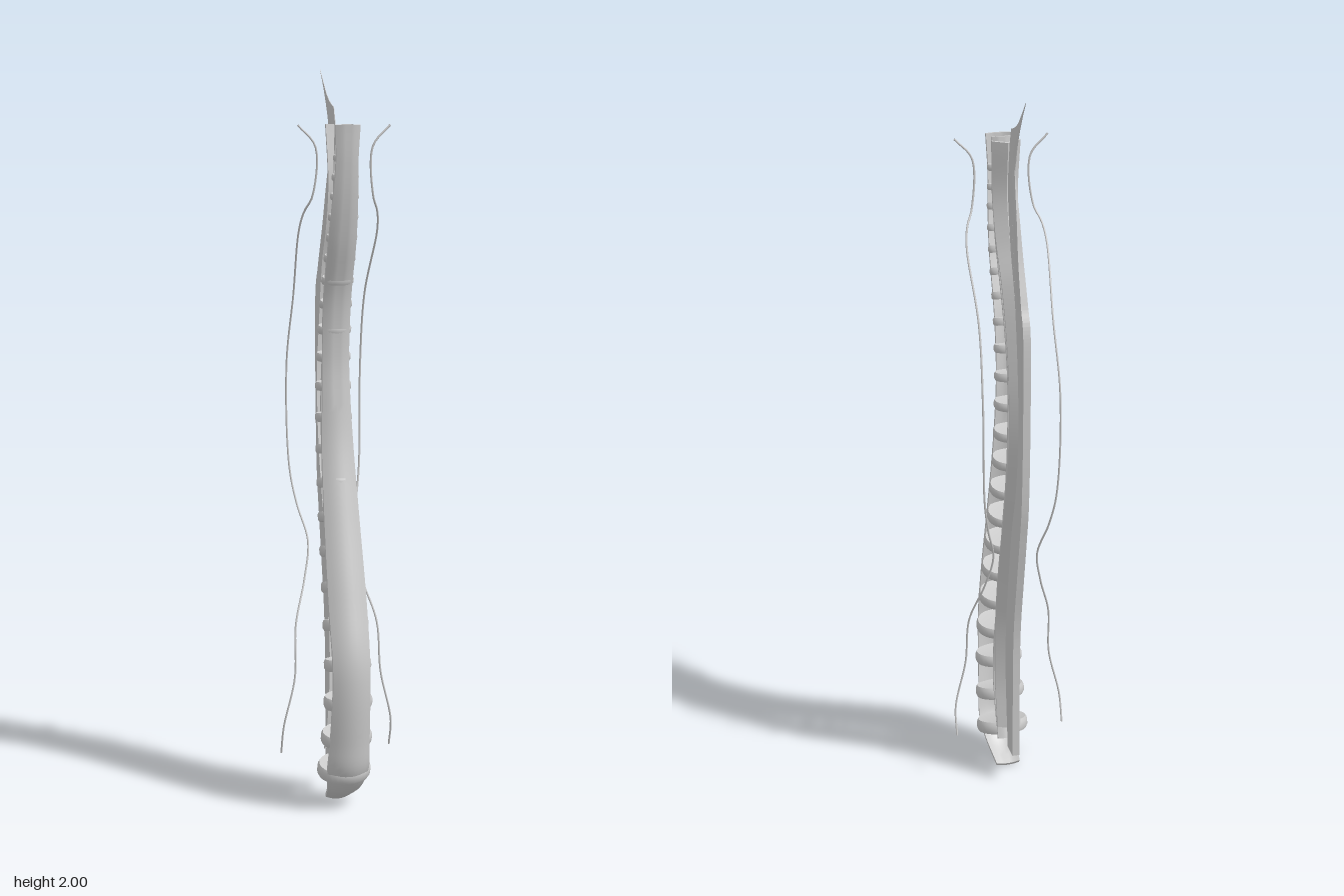
import * as THREE from 'three';
import { toCreasedNormals } from 'three/addons/utils/BufferGeometryUtils.js';

const material = new THREE.MeshStandardMaterial({ color: 0xcccccc, side: THREE.DoubleSide });

// Linear lookup in rows of [y, value, ...] sorted upward
function lookup(rows, y) {
  if (y <= rows[0][0]) return rows[0][1];
  for (let i = 1; i < rows.length; i++) {
    if (y <= rows[i][0]) {
      const t = (y - rows[i - 1][0]) / (rows[i][0] - rows[i - 1][0]);
      return THREE.MathUtils.lerp(rows[i - 1][1], rows[i][1], t);
    }
  }
  return rows[rows.length - 1][1];
}

// Sweeps a bent strip along rows of [y, z, half width]; bend(u, w) offsets it forwards for u in -1..1
function sweepStrip(rows, thickness, bend, steps = 90, across = 8) {
  const curve = new THREE.CatmullRomCurve3(rows.map(([y, z]) => new THREE.Vector3(0, y, z)));
  const widths = new THREE.CatmullRomCurve3(rows.map((r, i) => new THREE.Vector3(r[2], i, 0)));
  const ring = 2 * (across + 1), positions = [], index = [];
  for (let i = 0; i <= steps; i++) {
    const t = i / steps;
    const p = curve.getPoint(t), tan = curve.getTangent(t), w = widths.getPoint(t).x;
    for (let k = 0; k < ring; k++) {
      const front = k <= across;
      const u = -1 + (2 * (front ? k : ring - 1 - k)) / across;
      const d = bend(u, w) + (front ? 0 : -thickness);
      positions.push(u * w, p.y - tan.z * d, p.z + tan.y * d);
    }
  }
  for (let i = 0; i < steps; i++) {
    for (let k = 0; k < ring; k++) {
      const a = i * ring + k, b = i * ring + ((k + 1) % ring);
      index.push(a, b, b + ring, a, b + ring, a + ring);
    }
  }
  // End caps
  const top = steps * ring;
  for (let k = 0; k < across; k++) {
    const m = ring - 1 - k;
    index.push(top + k, top + k + 1, top + m - 1, top + k, top + m - 1, top + m);
    index.push(k, m - 1, k + 1, k, m, m - 1);
  }
  const g = new THREE.BufferGeometry();
  g.setAttribute('position', new THREE.Float32BufferAttribute(positions, 3));
  g.setIndex(index);
  return toCreasedNormals(g, 0.7);
}

// Rows of [y, z, half width], bottom to top
const FRONT = [
  [0.002, 0.022, 0.034], [0.045, 0.1, 0.048], [0.11, 0.15, 0.058], [0.2, 0.167, 0.055], [0.34, 0.182, 0.052],
  [0.44, 0.178, 0.052], [0.6, 0.137, 0.053], [0.81, 0.078, 0.049], [1.0, 0.032, 0.044],
  [1.13, 0.016, 0.039], [1.24, 0.01, 0.037], [1.39, 0.026, 0.038], [1.55, 0.078, 0.038],
  [1.66, 0.105, 0.034], [1.76, 0.12, 0.03], [1.855, 0.128, 0.034],
];
const BACK = [
  [0.1, 0.012, 0.03], [0.16, 0.035, 0.03], [0.26, 0.065, 0.03], [0.36, 0.07, 0.028], [0.5, 0.045, 0.026],
  [0.65, 0.01, 0.026], [0.81, -0.03, 0.026], [0.95, -0.058, 0.024], [1.08, -0.074, 0.024],
  [1.2, -0.07, 0.022], [1.32, -0.05, 0.022], [1.45, -0.01, 0.024], [1.58, 0.042, 0.026],
  [1.66, 0.064, 0.026], [1.76, 0.075, 0.026], [1.855, 0.084, 0.026],
];
const FLAVUM = [
  [0.15, -0.018, 0.034], [0.28, 0.015, 0.032], [0.44, 0.02, 0.03], [0.6, -0.006, 0.03],
  [0.76, -0.045, 0.028], [0.92, -0.09, 0.028], [1.05, -0.118, 0.027], [1.2, -0.122, 0.027],
  [1.34, -0.1, 0.027], [1.5, -0.055, 0.03], [1.6, -0.005, 0.032], [1.71, 0.024, 0.034], [1.855, 0.012, 0.038],
];
const DISC_WIDTH = [[0.1, 0.074], [0.35, 0.066], [0.6, 0.061], [1, 0.052], [1.3, 0.047], [1.6, 0.042], [1.8, 0.033]];
const DISC_Y = [
  0.11, 0.208, 0.312, 0.415, 0.52, 0.62, 0.715, 0.805, 0.895, 0.985, 1.07, 1.155,
  1.235, 1.31, 1.38, 1.445, 1.505, 1.56, 1.615, 1.67, 1.72, 1.77,
];

// Side cord, [x, y, z] for the left
const CORD = [
  [0.155, 0.14, -0.005], [0.153, 0.22, 0.018], [0.122, 0.36, 0.022], [0.115, 0.5, 0.005],
  [0.08, 0.62, -0.035], [0.062, 0.72, -0.065], [0.085, 0.82, -0.1], [0.1, 0.92, -0.122],
  [0.105, 1.2, -0.13], [0.1, 1.4, -0.07], [0.108, 1.58, 0.025], [0.1, 1.63, 0.05],
  [0.083, 1.67, 0.07], [0.078, 1.8, 0.083], [0.125, 1.855, 0.083],
];

// Outline of the rear plate as [backward, up]: front edge upward, horn, back edge downward
const PLATE_FRONT = [
  [0.02, 0.09], [0.005, 0.22], [-0.005, 0.36], [0.005, 0.5], [0.032, 0.65], [0.063, 0.79], [0.105, 0.92],
  [0.127, 1.05], [0.132, 1.18], [0.116, 1.34], [0.09, 1.47], [0.042, 1.58], [0.008, 1.68],
  [-0.005, 1.76], [0.005, 1.855],
];
const HORN_TOP = [[0.055, 1.912], [0.09, 1.932], [0.125, 1.964], [0.162, 2.0]];
const PLATE_BACK = [
  [0.125, 1.95], [0.09, 1.89], [0.07, 1.84], [0.06, 1.79], [0.09, 1.68], [0.116, 1.58], [0.153, 1.47],
  [0.18, 1.38], [0.18, 1.13], [0.169, 0.92], [0.148, 0.8], [0.116, 0.65], [0.09, 0.52], [0.079, 0.39], [0.074, 0.09],
];

export function createModel() {
  const model = new THREE.Group();
  const add = (name, geometry, parent = model) => {
    const mesh = new THREE.Mesh(geometry, material);
    mesh.name = name;
    parent.add(mesh);
    return mesh;
  };

  // Long bands in front of and behind the discs, and the folded band behind them
  add('frontLigament', sweepStrip(FRONT, 0.009, (u, w) => -7 * w * w * u * u));
  add('backLigament', sweepStrip(BACK, 0.008, (u) => 0.006 * u * u));
  add('foldedLigament', sweepStrip(FLAVUM, 0.007, (u) => 0.006 + 0.02 * Math.abs(u)));

  // Discs, tilted square to the curve of the spine
  const discs = new THREE.Group();
  discs.name = 'discs';
  model.add(discs);
  const profile = [[0, -0.4], [0.7, -0.42], [0.94, -0.5], [1, -0.25], [1, 0.25], [0.94, 0.5], [0.7, 0.42], [0, 0.4]];
  const discShape = toCreasedNormals(
    new THREE.LatheGeometry(profile.map(([r, h]) => new THREE.Vector2(r, h)), 28), 0.6);
  const middle = (y) => (lookup(FRONT, y) + lookup(BACK, y)) / 2;
  for (const y of DISC_Y) {
    const disc = add('disc', discShape, discs);
    const depth = (lookup(FRONT, y) - lookup(BACK, y)) / 2;
    disc.position.set(0, y, middle(y));
    disc.scale.set(lookup(DISC_WIDTH, y), THREE.MathUtils.lerp(0.036, 0.016, y / 1.8), depth - 0.003);
    disc.rotation.x = Math.atan2(middle(y + 0.05) - middle(Math.max(y - 0.05, 0.09)), 0.1);
  }

  // Thin plate along the back, with a horn that thins to a sheet at the top
  const points = (list) => list.map((p) => new THREE.Vector2(...p));
  const outline = new THREE.Shape();
  outline.moveTo(...PLATE_FRONT[0]);
  outline.splineThru(points(PLATE_FRONT.slice(1)));
  outline.lineTo(0.02, 1.9);
  outline.splineThru(points(HORN_TOP));
  outline.splineThru(points(PLATE_BACK));
  outline.closePath();
  const plate = new THREE.ExtrudeGeometry(outline, { depth: 0.02, bevelEnabled: false, curveSegments: 50 });
  plate.translate(0, 0, -0.01).rotateY(Math.PI / 2);
  const position = plate.attributes.position;
  for (let i = 0; i < position.count; i++) {
    const thin = THREE.MathUtils.smoothstep(position.getY(i), 1.4, 1.88);
    position.setX(i, position.getX(i) * (1 - 0.93 * thin));
  }
  add('rearPlate', toCreasedNormals(plate, 0.6));

  // Thin cords on both sides
  for (const [name, side] of [['leftCord', 1], ['rightCord', -1]]) {
    const path = new THREE.CatmullRomCurve3(CORD.map(([x, y, z]) => new THREE.Vector3(x * side, y, z)));
    add(name, new THREE.TubeGeometry(path, 120, 0.0028, 8));
  }
  return model;
}
